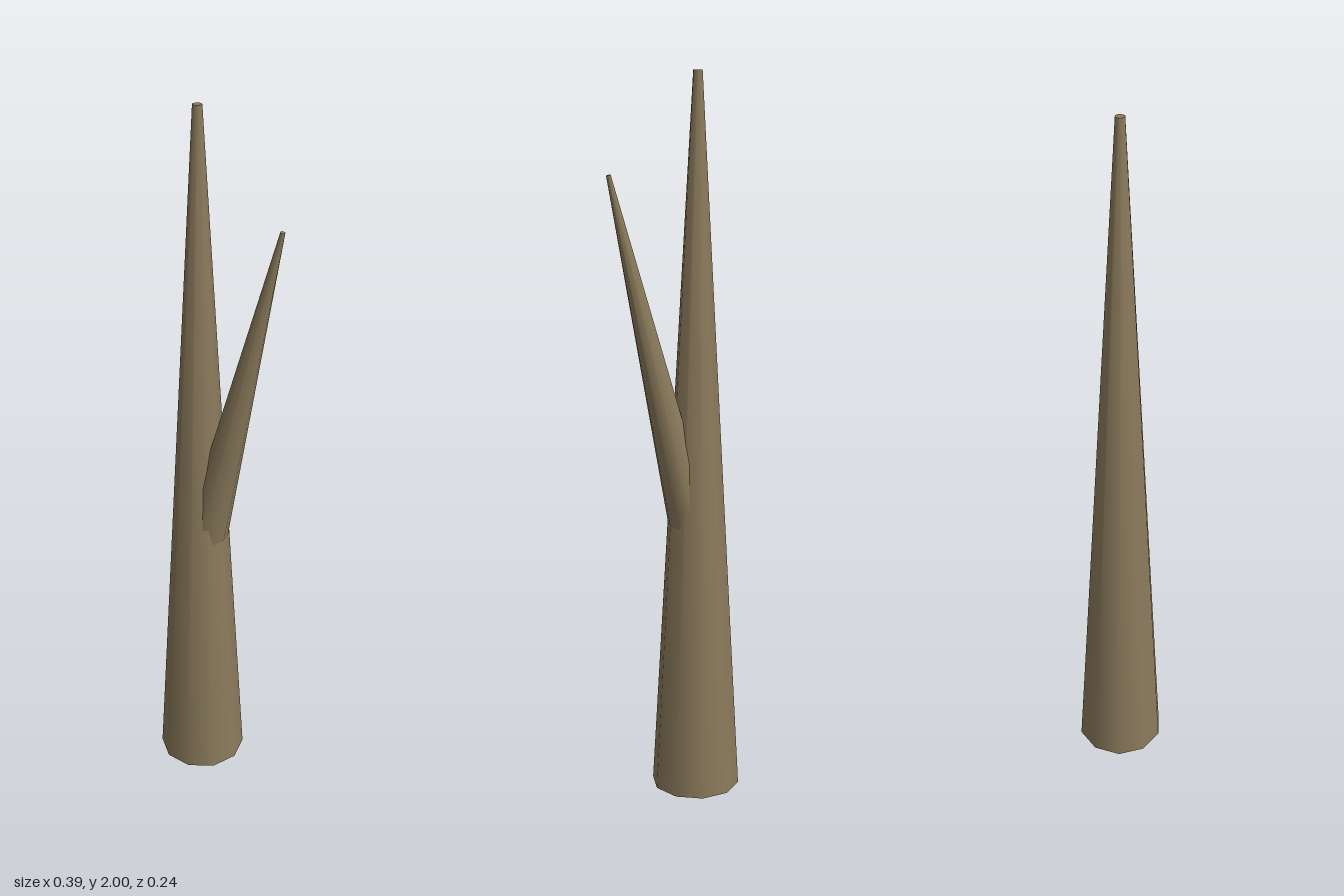
import * as THREE from 'three';

const bark = new THREE.MeshStandardMaterial({ color: 0x8b7b5c });

// Tapered ten-sided limb running from one point to another, with a corner facing +x
function limb(name, from, to, baseRadius, tipRadius) {
  const axis = to.clone().sub(from);
  const length = axis.length();
  const geometry = new THREE.CylinderGeometry(tipRadius, baseRadius, length, 10);
  geometry.rotateY(Math.PI / 2);
  geometry.translate(0, length / 2, 0);
  const mesh = new THREE.Mesh(geometry, bark);
  mesh.name = name;
  mesh.position.copy(from);
  mesh.quaternion.setFromUnitVectors(new THREE.Vector3(0, 1, 0), axis.normalize());
  return mesh;
}

export function createModel() {
  const model = new THREE.Group();
  model.name = 'bareTree';
  // Upright trunk
  model.add(limb('trunk', new THREE.Vector3(-0.071, 0, 0), new THREE.Vector3(-0.071, 2, 0), 0.125, 0.0125));
  // Side branch, its base sunk into the trunk
  model.add(limb('branch', new THREE.Vector3(-0.055, 0.763, 0), new THREE.Vector3(0.188, 1.734, 0), 0.0625, 0.00625));
  return model;
}
